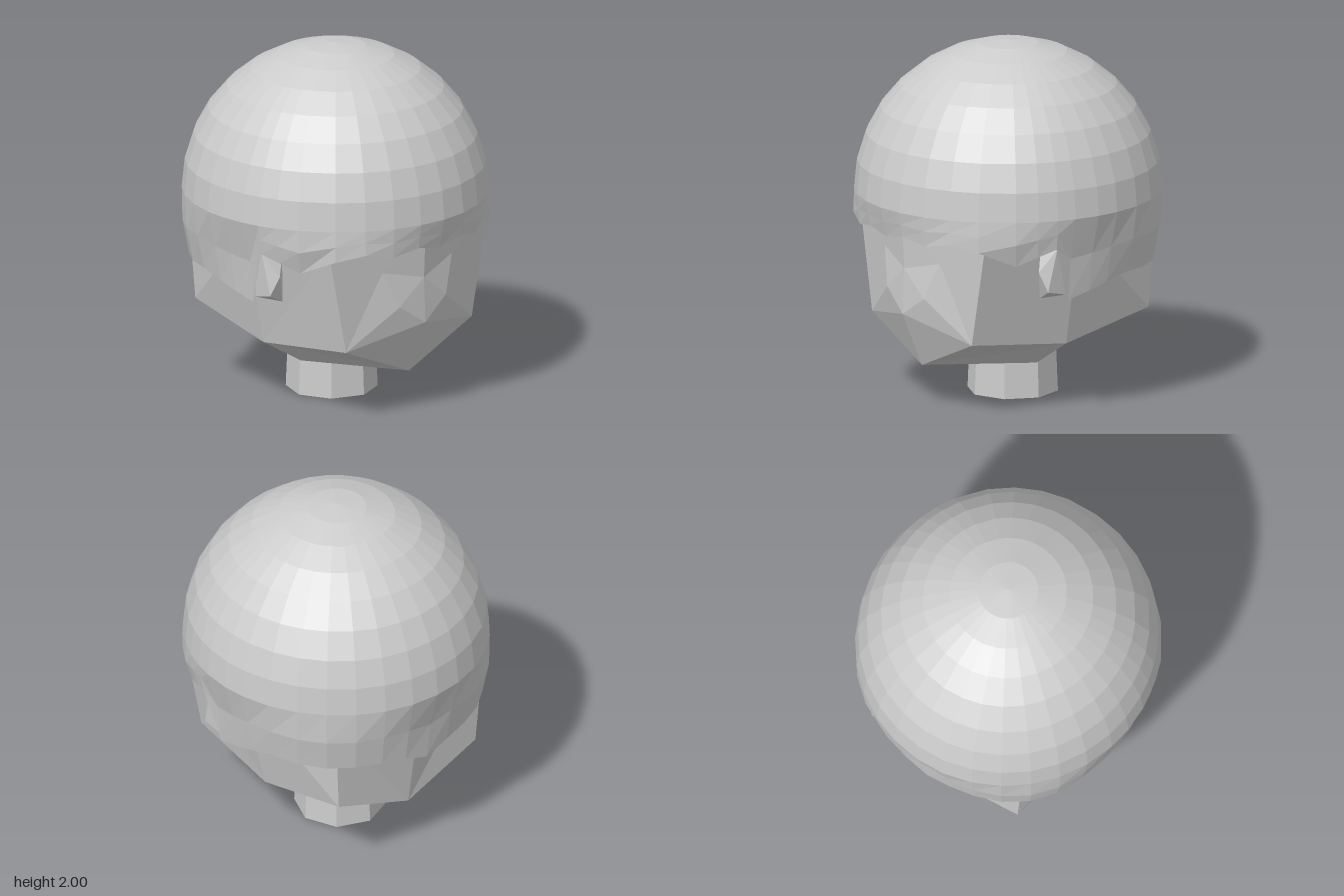
import * as THREE from 'three';
import { ConvexGeometry } from 'three/addons/geometries/ConvexGeometry.js';

const material = new THREE.MeshStandardMaterial({ color: 0xcccccc, flatShading: true });
const thinMaterial = material.clone();
thinMaterial.side = THREE.DoubleSide;

function part(name, geometry, mat = material) {
  const mesh = new THREE.Mesh(geometry, mat);
  mesh.name = name;
  return mesh;
}

function facets(triangles) {
  const points = triangles.flat();
  const geometry = new THREE.BufferGeometry().setFromPoints(points);
  geometry.computeVertexNormals();
  return geometry;
}

// Faceted head: one half as named corners, mirrored, faces turned outward
function headGeometry() {
  const corners = {
    brow: [0, 1.05, 0.71], bridge: [0, 0.79, 0.7], lip: [0, 0.53, 0.71], chin: [0, 0.22, 0.58],
    eye: [0.27, 0.86, 0.645], cheek: [0.18, 0.65, 0.69],
    temple: [0.62, 1.05, 0.575], jaw: [0.49, 0.43, 0.58],
    side: [0.7, 1.05, 0], jawSide: [0.54, 0.37, -0.02],
    rear: [0.54, 1.05, -0.62], rearLow: [0.5, 0.49, -0.6],
    nape: [0, 1.05, -0.725], napeLow: [0, 0.31, -0.61],
    baseFront: [0, 0.2, 0.2], baseSide: [0.25, 0.2, -0.02], baseBack: [0, 0.2, -0.24],
    crown: [0, 1.6, 0],
  };
  const faces = [
    'brow bridge eye', 'brow eye temple', 'bridge lip cheek', 'bridge cheek eye',
    'eye cheek jaw', 'eye jaw temple', 'lip chin jaw cheek',
    'temple jaw jawSide side', 'side jawSide rearLow rear', 'rear rearLow napeLow nape',
    'chin baseFront baseSide', 'chin baseSide jawSide jaw', 'jawSide baseSide baseBack',
    'jawSide baseBack napeLow rearLow', 'baseFront baseBack baseSide',
    'crown brow temple', 'crown temple side', 'crown side rear', 'crown rear nape',
  ];
  const middle = new THREE.Vector3(0, 0.8, 0);
  const triangles = [];
  for (const s of [1, -1]) {
    for (const face of faces) {
      const p = face.split(' ').map((n) => new THREE.Vector3(...corners[n]).multiply(new THREE.Vector3(s, 1, 1)));
      for (let i = 1; i < p.length - 1; i++) {
        const t = [p[0], p[i], p[i + 1]];
        const normal = t[1].clone().sub(t[0]).cross(t[2].clone().sub(t[0]));
        triangles.push(normal.dot(t[0].clone().sub(middle)) < 0 ? t.reverse() : t);
      }
    }
  }
  return facets(triangles);
}

// Hair: round dome, then a skirt that ends in an uneven hem
function hairGeometry() {
  // [angle from the front in degrees, hem height]
  const half = [
    [0, 0.99], [11.25, 1.02], [22.5, 0.99], [33.75, 1.02], [45, 0.985], [59, 0.9], [67.5, 0.95],
    [75, 0.99], [82, 0.68], [92, 0.715], [101, 0.75], [112.5, 0.78], [123.75, 0.775],
    [135, 0.77], [146.25, 0.77], [157.5, 0.765], [168.75, 0.74], [180, 0.69],
  ];
  const mirrored = half.slice(1, -1).reverse().map(([a, y]) => [360 - a, y]);
  const columns = [...half, ...mirrored];
  const equator = 1.16;
  const skirt = [[1.16, 0.85], [1.0, 0.815], [0.9, 0.775], [0.68, 0.755]];
  const radiusAt = (y) => {
    let i = 0;
    while (i < skirt.length - 2 && y < skirt[i + 1][0]) i++;
    const [a, b] = [skirt[i], skirt[i + 1]];
    return THREE.MathUtils.mapLinear(y, a[0], b[0], a[1], b[1]);
  };
  const grid = columns.map(([deg, hem]) => {
    const a = THREE.MathUtils.degToRad(deg);
    const at = (r, y) => new THREE.Vector3(Math.sin(a) * r * 0.995, y, Math.cos(a) * r * 1.012);
    const line = [];
    for (let j = 0; j <= 8; j++) {
      const t = (j * Math.PI) / 16;
      line.push(at(0.85 * Math.sin(t), equator + 0.84 * Math.cos(t)));
    }
    for (const y of [Math.max(0.9, (equator + hem) / 2), hem]) {
      const bulge = 0.045 * Math.sin(2 * a) ** 2 * Math.min(1, (equator - y) / 0.16);
      line.push(at(radiusAt(y) + bulge, y));
    }
    return line;
  });
  const triangles = [];
  grid.forEach((line, i) => {
    const next = grid[(i + 1) % grid.length];
    for (let j = 0; j < line.length - 1; j++) {
      if (j > 0) triangles.push([line[j], line[j + 1], next[j]]);
      triangles.push([next[j], line[j + 1], next[j + 1]]);
    }
  });
  return facets(triangles);
}

// Small angular ear on the given side
function earGeometry(s) {
  return new ConvexGeometry([
    [0.76, 0.98, 0.19], [0.71, 0.85, 0.28], [0.75, 0.74, 0.245], [0.63, 0.68, 0.22],
    [0.74, 0.71, 0.12], [0.745, 0.87, 0.13], [0.61, 0.95, 0.2], [0.61, 0.72, 0.13],
  ].map(([x, y, z]) => new THREE.Vector3(s * x, y, z)));
}

export function createModel() {
  const model = new THREE.Group();
  model.name = 'headBust';
  model.add(part('head', headGeometry()));
  model.add(part('hair', hairGeometry(), thinMaterial));
  model.add(part('leftEar', earGeometry(1)));
  model.add(part('rightEar', earGeometry(-1)));

  // Eight-sided neck
  const neck = part('neck', new THREE.CylinderGeometry(0.245, 0.255, 0.24, 8));
  neck.position.set(0, 0.12, -0.03);
  model.add(neck);
  return model;
}
